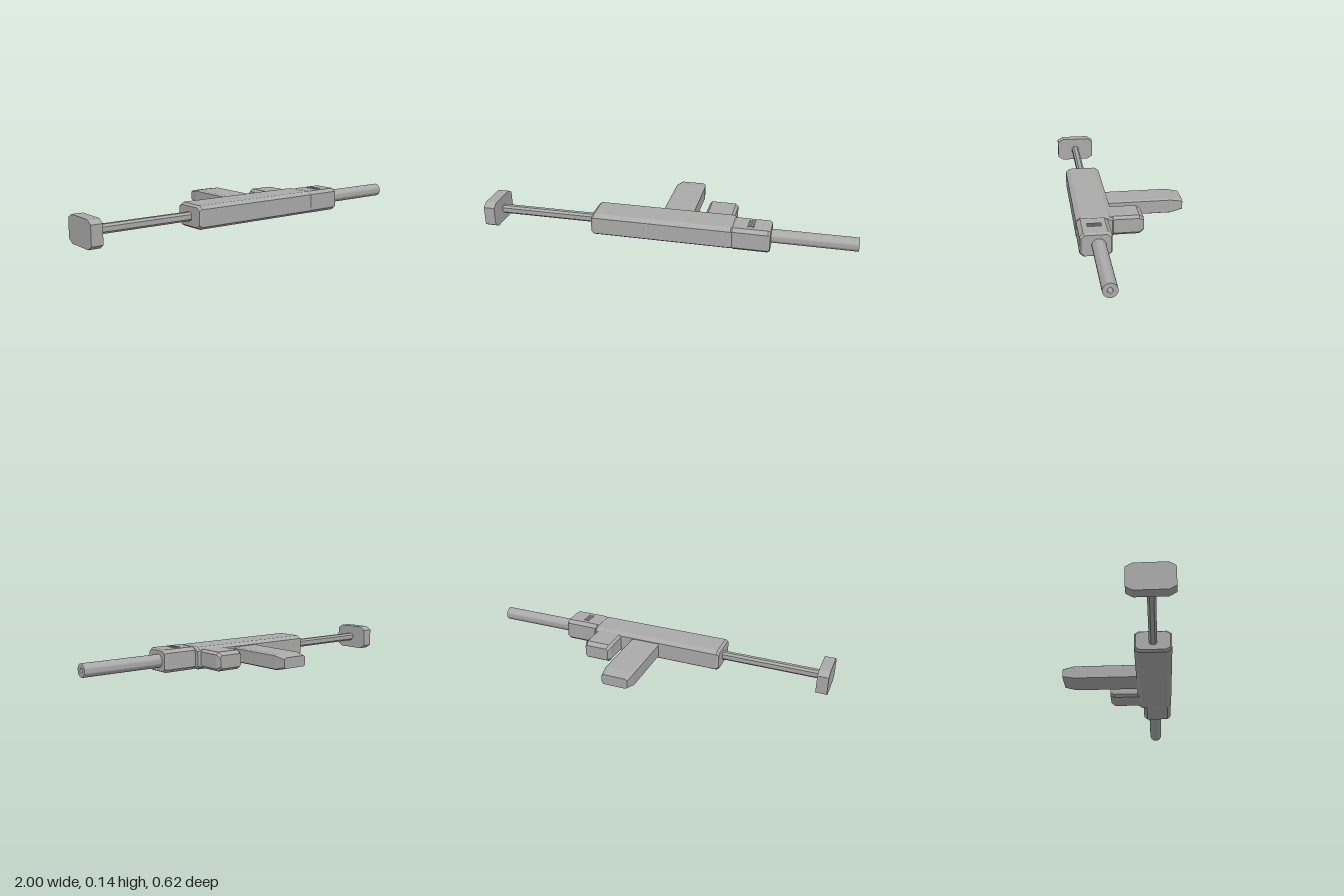
import * as THREE from 'three';
import { toCreasedNormals } from 'three/addons/utils/BufferGeometryUtils.js';

// Loft of chamfered rectangles along x (a = y, b = z) or z (a = x, b = y).
// Each section: [t, aMin, aMax, bMin, bMax, chamferA, chamferB], t ascending.
function loft(axis, sections) {
  const rings = sections.map(([t, a0, a1, b0, b1, ca, cb]) => [
    [a1, b0 + cb], [a1, b1 - cb], [a1 - ca, b1], [a0 + ca, b1],
    [a0, b1 - cb], [a0, b0 + cb], [a0 + ca, b0], [a1 - ca, b0],
  ].map(([a, b]) => (axis === 'x' ? [t, a, b] : [a, b, t])));
  const pos = [];
  const tri = (...points) => points.forEach((p) => pos.push(...p));
  for (let k = 0; k < rings.length - 1; k++) {
    for (let i = 0; i < 8; i++) {
      const j = (i + 1) % 8, r = rings[k], s = rings[k + 1];
      tri(r[i], r[j], s[j]);
      tri(r[i], s[j], s[i]);
    }
  }
  const first = rings[0], last = rings[rings.length - 1];
  for (let i = 1; i < 7; i++) {
    tri(first[0], first[i + 1], first[i]);
    tri(last[0], last[i], last[i + 1]);
  }
  const geometry = new THREE.BufferGeometry();
  geometry.setAttribute('position', new THREE.Float32BufferAttribute(pos, 3));
  geometry.computeVertexNormals();
  return geometry;
}

export function createModel() {
  const group = new THREE.Group();
  const grey = new THREE.MeshStandardMaterial({ color: 0xaaaaaa });
  grey.name = 'grey';
  const add = (name, geometry) => {
    const mesh = new THREE.Mesh(geometry, grey);
    mesh.name = name;
    group.add(mesh);
    return mesh;
  };

  // Shoulder plate and thin stock rod
  add('buttPlate', loft('x', [
    [-1, 0.002, 0.142, 0.083, 0.309, 0.02, 0.033],
    [-0.94, 0.002, 0.142, 0.083, 0.309, 0.02, 0.033],
  ]));
  add('stockRod', loft('x', [
    [-0.945, 0.056, 0.088, 0.184, 0.21, 0.008, 0.008],
    [-0.93, 0.049, 0.095, 0.176, 0.218, 0.011, 0.011],
    [-0.38, 0.049, 0.095, 0.176, 0.218, 0.011, 0.011],
  ]));

  // Long main body with bevelled ends
  add('body', loft('x', [
    [-0.397, 0.022, 0.124, 0.108, 0.286, 0.014, 0.024],
    [-0.383, 0.012, 0.134, 0.1, 0.294, 0.016, 0.025],
    [0.352, 0.012, 0.134, 0.1, 0.294, 0.016, 0.025],
    [0.364, 0.02, 0.126, 0.108, 0.286, 0.014, 0.024],
  ]));

  // Front block
  add('frontBlock', loft('x', [
    [0.354, 0.018, 0.128, 0.136, 0.286, 0.016, 0.018],
    [0.366, 0.012, 0.135, 0.13, 0.292, 0.017, 0.02],
    [0.543, 0.012, 0.135, 0.13, 0.292, 0.017, 0.02],
    [0.556, 0.018, 0.128, 0.137, 0.284, 0.016, 0.018],
  ]));

  // Raised ribs on the front block
  for (let i = 0; i < 3; i++) {
    add('rib', new THREE.BoxGeometry(0.007, 0.008, 0.073))
      .position.set(0.438 + i * 0.013, 0.135, 0.21);
  }

  // Barrel with a bored muzzle
  const profile = [[0.036, 0], [0.036, 0.45], [0.013, 0.45], [0.013, 0.4], [0, 0.4]]
    .map(([r, h]) => new THREE.Vector2(r, h));
  const barrel = add('barrel', toCreasedNormals(new THREE.LatheGeometry(profile, 32), 0.6));
  barrel.rotation.z = -Math.PI / 2;
  barrel.position.set(0.55, 0.072, 0.197);

  // Long tapered grip and short front grip, both pointing back
  add('longGrip', loft('z', [
    [-0.31, -0.033, 0.115, 0.045, 0.103, 0.012, 0.008],
    [-0.245, -0.043, 0.123, 0.031, 0.114, 0.012, 0.006],
    [0.12, -0.043, 0.123, 0.031, 0.114, 0.012, 0.006],
  ]));
  add('shortGrip', loft('z', [
    [-0.06, 0.2, 0.337, 0.037, 0.107, 0.01, 0.012],
    [-0.036, 0.19, 0.348, 0.021, 0.124, 0.014, 0.014],
    [0.14, 0.19, 0.348, 0.021, 0.124, 0.014, 0.014],
  ]));

  return group;
}
